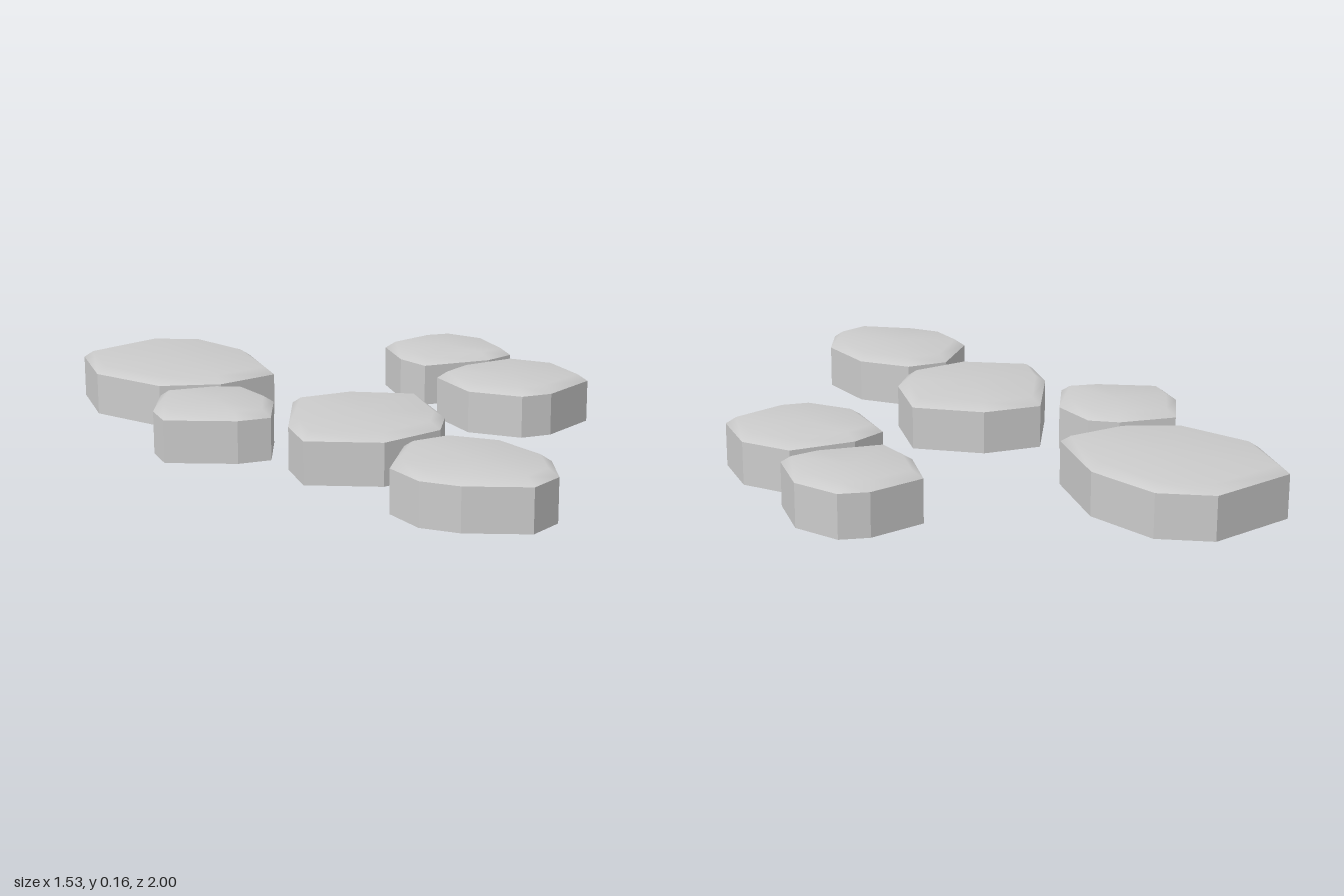
import * as THREE from 'three';

const WALL = 0.14, TOP = 0.163, INSET = 0.035;

// Outlines as [x, z] corners, clockwise as seen from above
const stones = {
  backLeftStone: [[-0.48, -1], [-0.315, -0.93], [-0.2, -0.71], [-0.2, -0.42], [-0.405, -0.36], [-0.605, -0.41], [-0.765, -0.635], [-0.755, -0.885]],
  backRightStone: [[0.465, -0.705], [0.56, -0.695], [0.66, -0.57], [0.665, -0.38], [0.565, -0.34], [0.325, -0.345], [0.28, -0.46], [0.29, -0.635]],
  middleLeftStone: [[-0.63, -0.295], [-0.44, -0.295], [-0.35, -0.25], [-0.305, -0.095], [-0.37, 0.08], [-0.48, 0.08], [-0.695, -0.01], [-0.7, -0.12]],
  middleRightStone: [[0.62, -0.285], [0.745, -0.165], [0.765, 0.03], [0.58, 0.135], [0.475, 0.135], [0.335, 0.015], [0.305, -0.185], [0.41, -0.255]],
  centreStone: [[-0.25, -0.065], [-0.055, -0.08], [0.155, 0.03], [0.145, 0.27], [0.08, 0.39], [-0.13, 0.455], [-0.355, 0.355], [-0.35, 0.195]],
  frontStone: [[0.055, 0.485], [0.2, 0.595], [0.265, 0.795], [0.22, 0.94], [0.115, 1], [-0.075, 0.92], [-0.17, 0.835], [-0.205, 0.695], [-0.085, 0.505]],
};

function geometryFrom(positions, indices) {
  const g = new THREE.BufferGeometry();
  g.setAttribute('position', new THREE.Float32BufferAttribute(positions, 3));
  g.setIndex(indices);
  return g;
}

// Upright sides with sharp corners, open underneath
function wallGeometry(outline) {
  const n = outline.length, pos = [], idx = [];
  outline.forEach(([x, z]) => pos.push(x, 0, z, x, WALL, z));
  for (let i = 0; i < n; i++) {
    const a = 2 * i, b = 2 * ((i + 1) % n);
    idx.push(a, a + 1, b + 1, a, b + 1, b);
  }
  const g = geometryFrom(pos, idx).toNonIndexed();
  g.computeVertexNormals();
  return g;
}

// Softly shaded top: sloping rim, then a flat face fanned from the middle
function capGeometry(outline) {
  const n = outline.length, pos = [], idx = [];
  const cx = outline.reduce((s, p) => s + p[0], 0) / n;
  const cz = outline.reduce((s, p) => s + p[1], 0) / n;
  for (const [x, z] of outline) {
    const k = 1 - INSET / Math.hypot(x - cx, z - cz);
    pos.push(x, WALL, z, cx + (x - cx) * k, TOP, cz + (z - cz) * k);
  }
  pos.push(cx, TOP, cz);
  for (let i = 0; i < n; i++) {
    const a = 2 * i, b = 2 * ((i + 1) % n);
    idx.push(a, a + 1, b + 1, a, b + 1, b, a + 1, 2 * n, b + 1);
  }
  const g = geometryFrom(pos, idx);
  g.computeVertexNormals();
  return g;
}

export function createModel() {
  const model = new THREE.Group();
  model.name = 'steppingStones';
  const material = new THREE.MeshStandardMaterial({ color: 0xcccccc, side: THREE.DoubleSide });
  for (const [name, outline] of Object.entries(stones)) {
    const stone = new THREE.Group();
    stone.name = name;
    const wall = new THREE.Mesh(wallGeometry(outline), material);
    wall.name = 'stoneSides';
    const cap = new THREE.Mesh(capGeometry(outline), material);
    cap.name = 'stoneTop';
    stone.add(wall, cap);
    model.add(stone);
  }
  return model;
}
